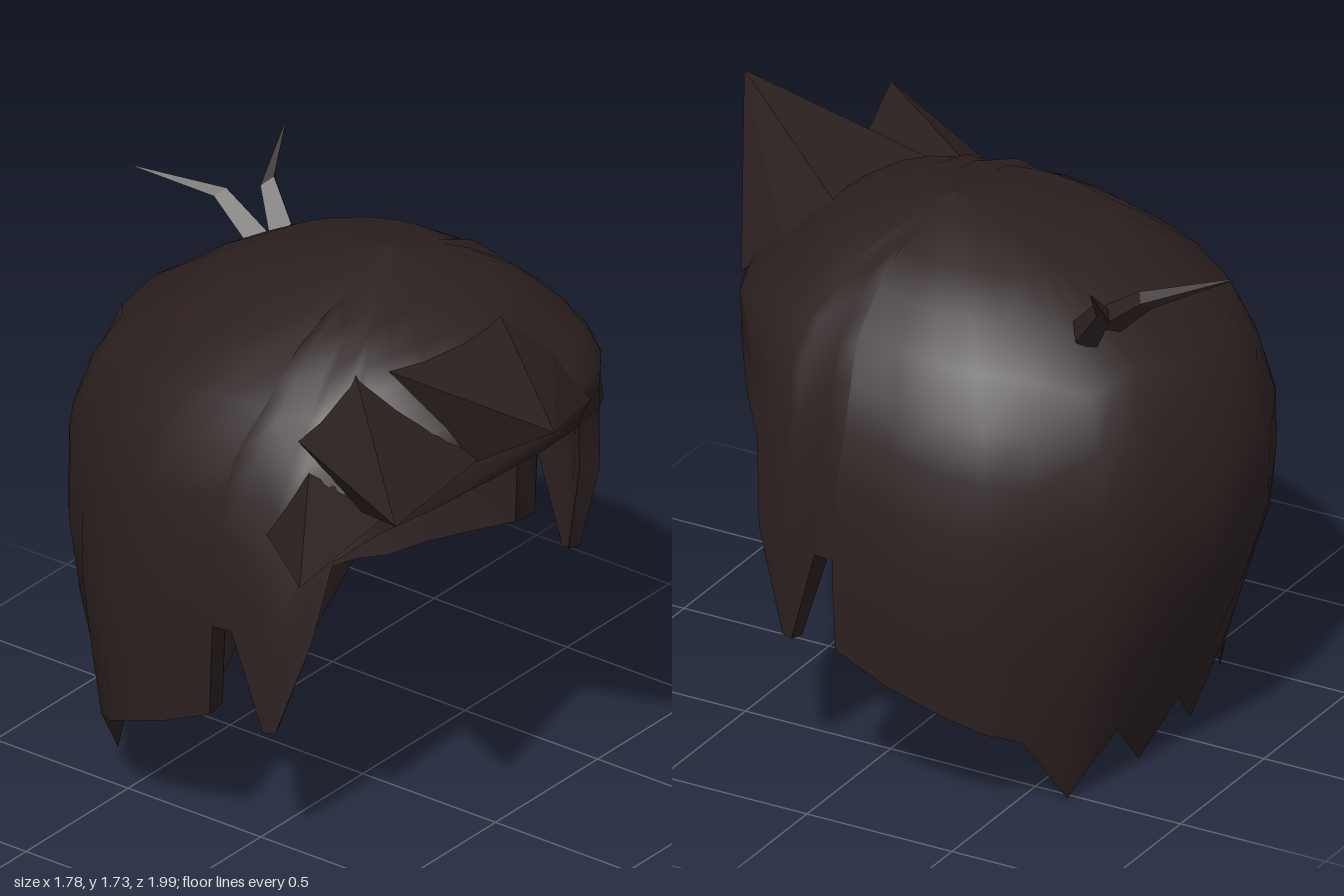
import * as THREE from 'three';
import { ConvexGeometry } from 'three/addons/geometries/ConvexGeometry.js';

const TOP = 1.72, ROWS = 10;

// Head cross-sections: y, centre x, half width, centre z, front z, back z, back squareness (1 = round)
const rings = [
  [1.72, 0.16, 0, -0.02, -0.02, -0.02, 1], [1.62, 0.09, 0.4, -0.055, 0.37, -0.47, 1],
  [1.42, 0.085, 0.63, -0.11, 0.62, -0.81, 1], [1.35, 0.085, 0.68, -0.15, 0.67, -0.87, 1],
  [1.27, 0.085, 0.72, -0.15, 0.62, -0.91, 1], [1.08, 0.085, 0.775, -0.15, 0.62, -0.98, 1],
  [0.76, 0.085, 0.805, -0.15, 0.65, -0.97, 1], [0.45, 0.08, 0.8, -0.15, 0.6, -0.85, 0.9],
  [0.33, 0.08, 0.78, -0.15, 0.55, -0.79, 0.75], [0, 0.08, 0.69, -0.15, 0.4, -0.69, 0.5],
];

// Hem, front to back: angle in degrees, height, inner wall scale
const side = [
  [14, 1.26, 0.93], [33, 1.21, 0.93], [47, 1.15, 0.93], [57, 1.07, 0.92], [62, 0.8, 0.92],
  [69, 0.48, 0.95], [72, 0.48, 0.95], [80, 0.8, 0.91], [84, 0.8, 0.9], [84.1, 0.5, 0.9],
  [93, 0.42, 0.89], [104, 0.35, 0.89], [114, 0.29, 0.89], [125, 0.25, 0.89],
];
const nape = [[140, 0], [148, 0.1], [156, 0.19], [169, 0.015], [182, 0.17], [195.5, 0.015],
  [207, 0.21], [214, 0.13], [221.5, 0.05]].map(([a, y]) => [a, y, 0.89]);
const hem = [[0, 1.27, 0.93], ...side, ...nape,
  ...side.map(([a, y, s]) => [360 - a, y, s]).reverse()];

// Point on the head surface at a given angle and height
function onHead(angle, y) {
  let i = 0;
  while (i < rings.length - 2 && y < rings[i + 1][0]) i++;
  const a = rings[i], b = rings[i + 1];
  const t = (a[0] - y) / (a[0] - b[0]);
  const [, cx, hx, cz, front, back, power] = a.map((v, k) => v + (b[k] - v) * t);
  const r = THREE.MathUtils.degToRad(angle), c = Math.cos(r);
  const z = c > 0 ? cz + (front - cz) * Math.pow(c, 0.8) : cz - (cz - back) * Math.pow(-c, power);
  return [cx + hx * Math.sin(r), y, z];
}

// Outer or inner wall point of one hem column, u = 0 at the crown and 1 at the hem
function wallPoint([angle, low, scale], u, inner) {
  const floor = 0.22 + 0.09 * Math.sin(THREE.MathUtils.degToRad(angle)) ** 2;
  const bottom = inner ? Math.max(low, floor) : low;
  const y = bottom + (TOP - bottom) * (1 - Math.pow(u, 1.7));
  const p = onHead(angle, y);
  if (!inner) return p;
  return [0.085 + (p[0] - 0.085) * scale, y - 0.1 * (1 - u), -0.15 + (p[2] + 0.15) * scale];
}

// Closed band of quads: point(column, row)
function band(rows, point, flip = false) {
  const pos = [], idx = [], n = hem.length;
  for (let j = 0; j <= rows; j++) for (const col of hem) pos.push(...point(col, j));
  for (let j = 0; j < rows; j++) for (let i = 0; i < n; i++) {
    const a = j * n + i, b = j * n + (i + 1) % n, c = a + n, d = b + n;
    if (flip) idx.push(a, b, c, b, d, c);
    else idx.push(a, c, b, b, c, d);
  }
  const g = new THREE.BufferGeometry();
  g.setAttribute('position', new THREE.Float32BufferAttribute(pos, 3));
  g.setIndex(idx);
  g.computeVertexNormals();
  return g;
}

const hull = (pts) => new ConvexGeometry(pts.map((p) => new THREE.Vector3(...p)));

export function createModel() {
  const model = new THREE.Group();
  const hair = new THREE.MeshStandardMaterial({ color: 0x2c2020 });
  hair.name = 'dark brown hair';
  const add = (name, geometry, parent = model) => {
    const mesh = new THREE.Mesh(geometry, hair);
    mesh.name = name;
    parent.add(mesh);
  };

  // Cap of hair with sideburns and jagged nape
  add('outerHair', band(ROWS, (c, j) => wallPoint(c, Math.max(j / ROWS, 0.001), false)));
  add('innerHair', band(ROWS, (c, j) => wallPoint(c, Math.max(j / ROWS, 0.001), true), true));
  add('hemRim', band(1, (c, j) => wallPoint(c, 1, j === 1)));

  // Swept fringe spikes, each from a tip to a base sunk into the cap
  const fringe = new THREE.Group();
  fringe.name = 'fringe';
  model.add(fringe);
  add('frontSpike', hull([[-0.36, 1.645, 1], [0.2, 1.6, 0.36], [0.28, 1.48, 0.5], [0.3, 1.35, 0.63],
    [-0.22, 1.34, 0.58], [-0.25, 1.57, 0.28]]), fringe);
  add('middleSpike', hull([[-0.84, 1.455, 0.77], [-0.3, 1.56, 0.2], [-0.2, 1.36, 0.6],
    [-0.5, 1.23, 0.38], [-0.5, 1.4, 0.12]]), fringe);
  add('sideSpike', hull([[-0.895, 1.165, 0.45], [-0.55, 1.33, 0.22], [-0.45, 1.22, 0.44],
    [-0.56, 1.08, 0.3], [-0.64, 1.13, 0.13]]), fringe);

  // Two bent tufts at the crown
  const tufts = { backTuft: [[0.29, 1.46, -0.58, 0.055], [0.29, 1.6, -0.76, 0.032], [0.16, 1.67, -0.99, 0.002]],
    sideTuft: [[0.38, 1.48, -0.6, 0.055], [0.43, 1.6, -0.69, 0.035], [0.57, 1.73, -0.73, 0.002]] };
  for (const [name, path] of Object.entries(tufts)) {
    const tuft = new THREE.Group();
    tuft.name = name;
    model.add(tuft);
    const corners = ([x, y, z, r]) => [[x + r, y, z], [x - r, y, z],
      [x, y + r * 0.7, z + r * 0.7], [x, y - r * 0.7, z - r * 0.7]];
    for (let i = 0; i < 2; i++)
      add(i ? 'tuftTip' : 'tuftRoot', hull([...corners(path[i]), ...corners(path[i + 1])]), tuft);
  }
  return model;
}
